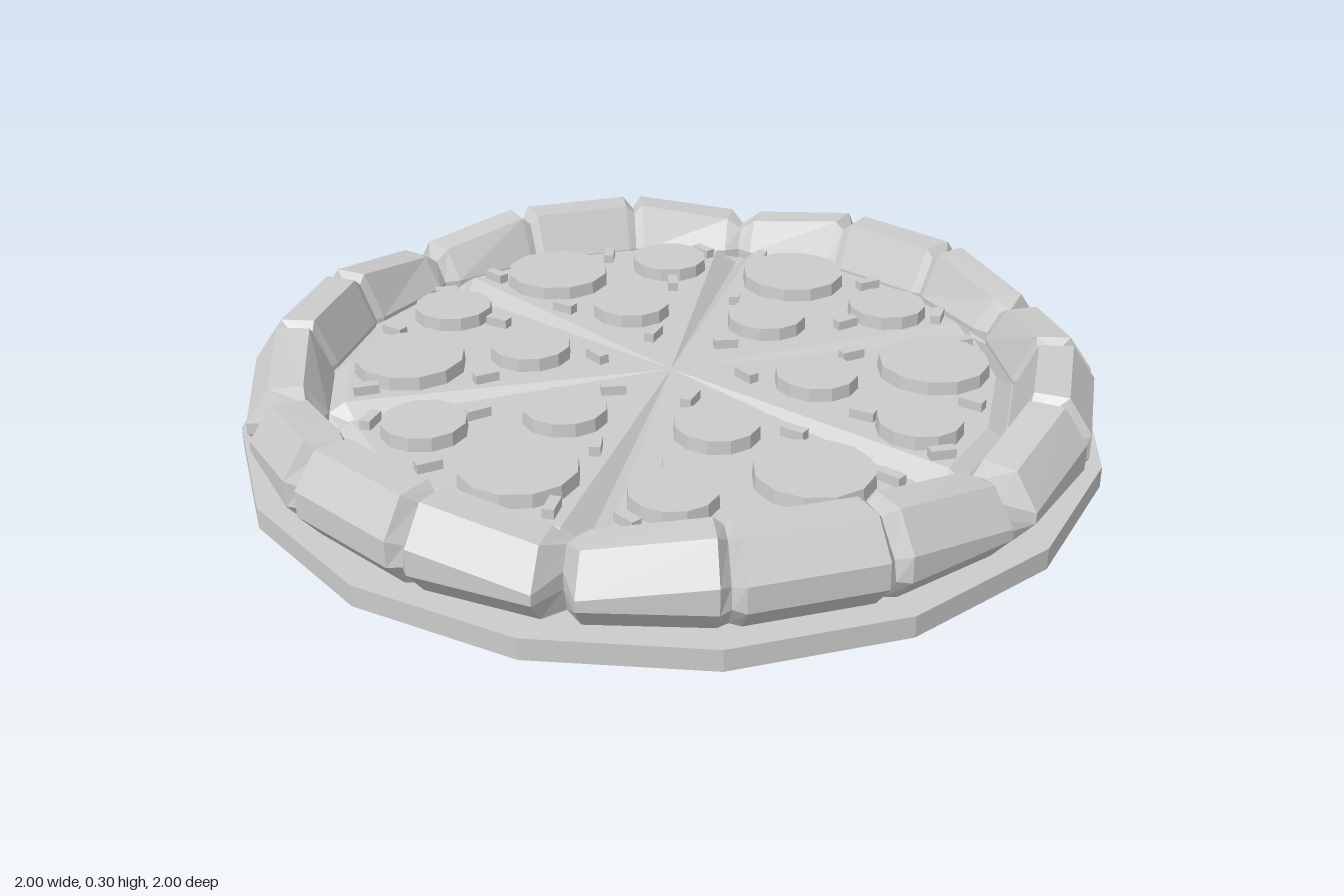
import * as THREE from 'three';

const material = new THREE.MeshStandardMaterial({ color: 0xcccccc, flatShading: true });
const SLICES = 6;
const RAD = Math.PI / 180;

function addMesh(parent, name, geometry) {
  const mesh = new THREE.Mesh(geometry, material);
  mesh.name = name;
  parent.add(mesh);
  return mesh;
}

// Surface through cross-sections placed around the y axis.
// sections: [{ angle in degrees, points: [[radius, y], ...] }], closed around the axis.
function ringSurface(sections) {
  const rows = sections[0].points.length;
  const positions = [];
  const index = [];
  for (const { angle, points } of sections) {
    for (const [r, y] of points) {
      positions.push(r * Math.cos(angle * RAD), y, r * Math.sin(angle * RAD));
    }
  }
  for (let i = 0; i < sections.length; i++) {
    const a = i * rows;
    const b = ((i + 1) % sections.length) * rows;
    for (let j = 0; j < rows - 1; j++) {
      index.push(a + j, b + j, b + j + 1, a + j, b + j + 1, a + j + 1);
    }
  }
  const geometry = new THREE.BufferGeometry();
  geometry.setAttribute('position', new THREE.Float32BufferAttribute(positions, 3));
  geometry.setIndex(index);
  const flat = geometry.toNonIndexed();
  flat.computeVertexNormals();
  return flat;
}

// Repeats one slice's sections for all slices; angles are measured from the slice centre.
function repeatSlices(offsets, pointsAt) {
  const sections = [];
  for (let s = 0; s < SLICES; s++) {
    for (const offset of offsets) {
      sections.push({ angle: 30 + s * 60 + offset, points: pointsAt(Math.abs(offset)) });
    }
  }
  return ringSurface(sections);
}

// Crust profile from the inner foot, over the top, to the underside
function crustProfile(offset) {
  if (offset === 30) { // pinched in at the cut between slices
    return [[0.83, 0.1], [0.83, 0.19], [0.86, 0.24], [0.89, 0.245],
      [0.92, 0.2], [0.92, 0.16], [0.9, 0.1], [0.83, 0.1]];
  }
  if (offset === 10) { // small dent between the lumps of a slice
    return [[0.81, 0.1], [0.82, 0.19], [0.86, 0.28], [0.91, 0.275],
      [0.965, 0.205], [0.975, 0.16], [0.93, 0.1], [0.81, 0.1]];
  }
  const top = offset > 20 ? 0.265 : 0.3;
  return [[0.81, 0.1], [0.81, 0.19], [0.86, top], [0.94, top],
    [0.995, top - 0.08], [0.995, 0.16], [0.945, 0.1], [0.81, 0.1]];
}

// Cheese profile from the centre outward, lower along the cuts
function cheeseProfile(offset) {
  if (offset === 30) return [[0, 0.205], [0.75, 0.165], [0.79, 0.165], [0.88, 0.165]];
  return [[0, 0.205], [0.77, 0.205], [0.81, 0.18], [0.85, 0.17]];
}

// Toppings of the slice that points to the back: [x, z, radius] and [x, z, turn in degrees]
const SAUSAGES = [[-0.13, -0.61, 0.135], [0.18, -0.61, 0.1], [0, -0.35, 0.1]];
const HERBS = [[0.04, -0.715, -20], [-0.285, -0.66, 30], [0.295, -0.67, 25],
  [0.15, -0.48, -15], [0.01, -0.185, -40], [-0.16, -0.41, 40]];

export function createModel() {
  const model = new THREE.Group();
  model.name = 'pizza';

  // Plate with a chamfered underside
  const plate = new THREE.Group();
  plate.name = 'plate';
  plate.rotation.y = Math.PI / 16;
  model.add(plate);
  addMesh(plate, 'plateBase', new THREE.CylinderGeometry(1.0196, 0.92, 0.05, 16)).position.y = 0.025;
  addMesh(plate, 'plateRim', new THREE.CylinderGeometry(1.0196, 1.0196, 0.05, 16)).position.y = 0.075;

  // Crust and cheese
  addMesh(model, 'crust', repeatSlices([-30, -27.5, -11.5, -10, -8.5, 8.5, 10, 11.5, 27.5], crustProfile));
  addMesh(model, 'cheese', repeatSlices([-30, -26.3, -10, 10, 26.3], cheeseProfile));

  // Toppings, the same on every slice
  for (let s = 0; s < SLICES; s++) {
    const toppings = new THREE.Group();
    toppings.name = 'sliceToppings';
    toppings.rotation.y = s * 60 * RAD;
    model.add(toppings);
    for (const [x, z, r] of SAUSAGES) {
      const slice = addMesh(toppings, 'sausageSlice', new THREE.CylinderGeometry(r * 0.97, r, 0.05, 12));
      slice.position.set(x, 0.212, z);
    }
    for (const [x, z, turn] of HERBS) {
      const herb = addMesh(toppings, 'herb', new THREE.BoxGeometry(0.026, 0.035, 0.058));
      herb.position.set(x, 0.21, z);
      herb.rotation.y = turn * RAD;
    }
  }
  return model;
}
